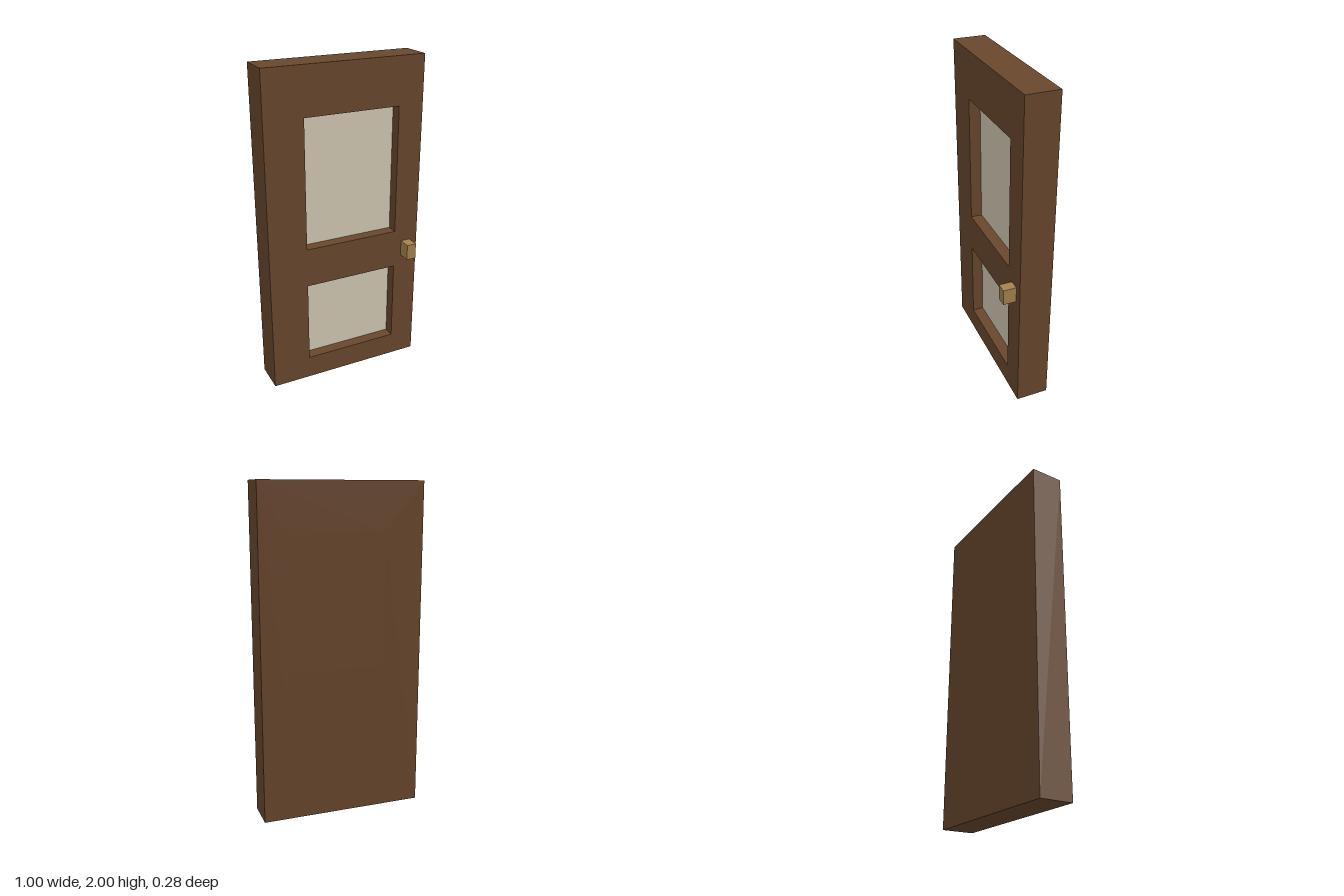
import * as THREE from 'three';

export function createModel() {
  const model = new THREE.Group();
  const wood = new THREE.MeshStandardMaterial({ color: 0x69482d });
  const cream = new THREE.MeshStandardMaterial({ color: 0xd2c9b5 });
  const brass = new THREE.MeshStandardMaterial({ color: 0xa5834f });
  wood.name = 'wood';
  cream.name = 'cream panel';
  brass.name = 'brass';

  const add = (name, geometry, material, x, y, z) => {
    const mesh = new THREE.Mesh(geometry, material);
    mesh.name = name;
    mesh.position.set(x, y, z);
    model.add(mesh);
  };
  const trace = (path, x0, y0, x1, y1) =>
    path.moveTo(x0, y0).lineTo(x1, y0).lineTo(x1, y1).lineTo(x0, y1).closePath();

  const back = -0.14, front = 0.06, recess = -0.01;
  const panels = [
    { name: 'upperPanel', x0: -0.26, y0: 0.91, x1: 0.34, y1: 1.71 },
    { name: 'lowerPanel', x0: -0.26, y0: 0.145, x1: 0.34, y1: 0.665 },
  ];

  // Door slab: one outline with a deep opening for each panel
  const outline = trace(new THREE.Shape(), -0.5, 0, 0.5, 2);
  for (const p of panels) outline.holes.push(trace(new THREE.Path(), p.x0, p.y0, p.x1, p.y1));
  const frame = new THREE.ExtrudeGeometry(outline, { depth: front - back, bevelEnabled: false });
  add('doorFrame', frame, wood, 0, 0, back);

  // Recessed panels, each with a wooden backing flush with the rear
  for (const p of panels) {
    const w = p.x1 - p.x0, h = p.y1 - p.y0;
    const x = (p.x0 + p.x1) / 2, y = (p.y0 + p.y1) / 2;
    add(p.name, new THREE.PlaneGeometry(w, h), cream, x, y, recess);
    add(p.name + 'Backing', new THREE.PlaneGeometry(w, h).rotateY(Math.PI), wood, x, y, back);
  }

  // Block handle
  add('handle', new THREE.BoxGeometry(0.062, 0.1, 0.08), brass, 0.419, 0.785, 0.1);

  return model;
}
